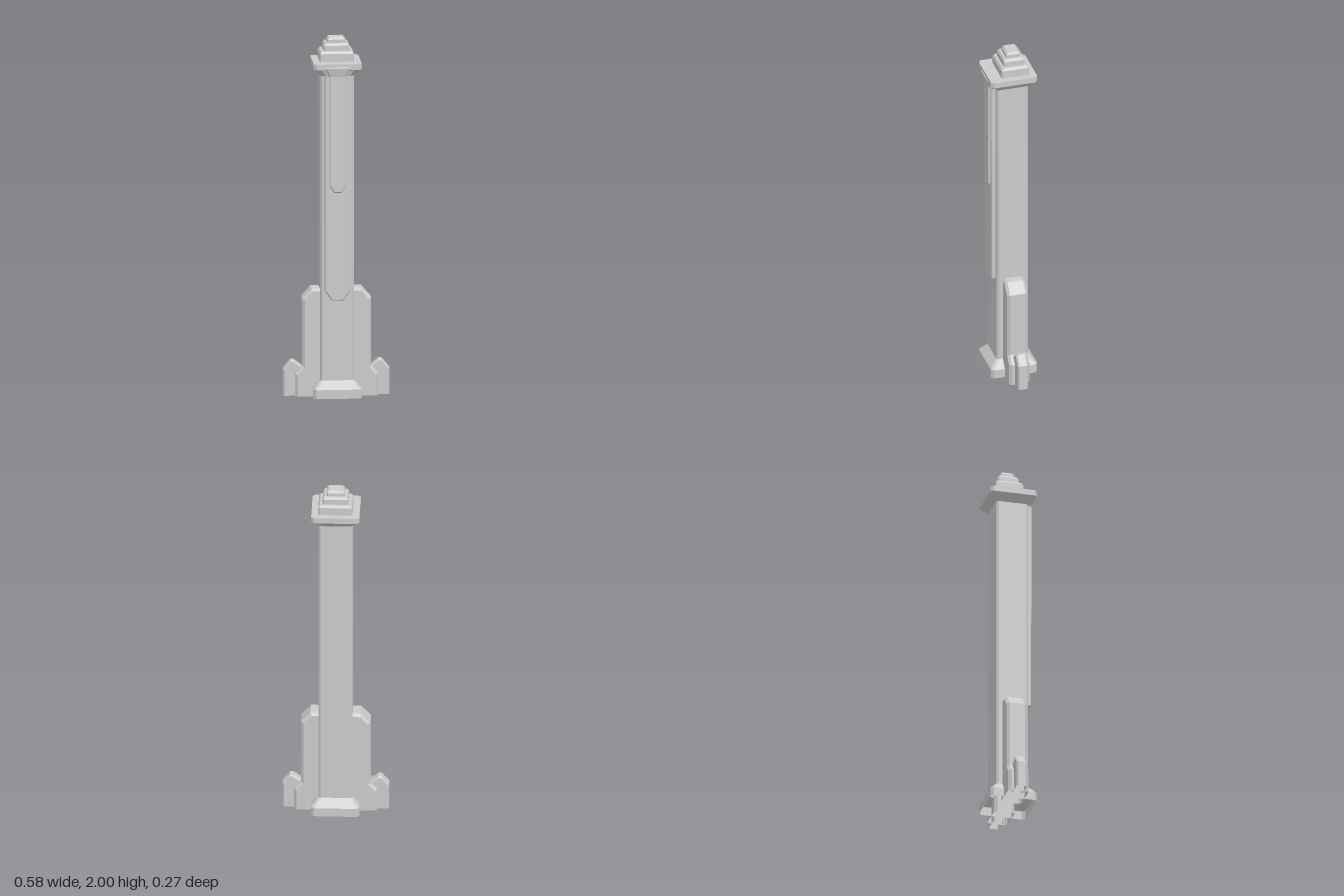
import * as THREE from 'three';

const material = new THREE.MeshStandardMaterial({
  color: 0xcccccc, flatShading: true, side: THREE.DoubleSide,
});

function addMesh(parent, name, geometry) {
  const mesh = new THREE.Mesh(geometry, material);
  mesh.name = name;
  parent.add(mesh);
  return mesh;
}

// Stack of rectangles with cut corners: [y, half width, half depth, corner cut], closed on top
function loft(levels, cz) {
  const positions = [], index = [];
  for (const [y, w, d, c] of levels) {
    const ring = [
      [w, d - c], [w, c - d], [w - c, -d], [c - w, -d],
      [-w, c - d], [-w, d - c], [c - w, d], [w - c, d],
    ];
    for (const [x, z] of ring) positions.push(x, y, z + cz);
  }
  for (let l = 0; l < levels.length - 1; l++) {
    for (let i = 0; i < 8; i++) {
      const a = l * 8 + i, b = l * 8 + (i + 1) % 8;
      index.push(a, b, b + 8, a, b + 8, a + 8);
    }
  }
  const top = (levels.length - 1) * 8;
  for (let i = 1; i < 7; i++) index.push(top, top + i, top + i + 1);
  const g = new THREE.BufferGeometry();
  g.setAttribute('position', new THREE.Float32BufferAttribute(positions, 3));
  g.setIndex(index);
  const flat = g.toNonIndexed();
  flat.computeVertexNormals();
  return flat;
}

// Outline in x and y, extruded from z0 to z1 with chamfered rims
function slab(points, z0, z1, bevel) {
  const shape = new THREE.Shape(points.map(([x, y]) => new THREE.Vector2(x, y)));
  const g = new THREE.ExtrudeGeometry(shape, {
    depth: z1 - z0 - 2 * bevel, bevelEnabled: true, bevelThickness: bevel,
    bevelSize: bevel, bevelOffset: -bevel, bevelSegments: 1,
  });
  return g.translate(0, 0, z0 + bevel);
}

// Cuts a slab off at ground level, leaving its underside open
function openBottom(g) {
  const src = g.index ? g.toNonIndexed() : g;
  const p = src.attributes.position, kept = [];
  for (let i = 0; i < p.count; i += 3) {
    if ([0, 1, 2].every((k) => p.getY(i + k) <= 0)) continue;
    for (let k = 0; k < 3; k++) {
      kept.push(p.getX(i + k), Math.max(0, p.getY(i + k)), p.getZ(i + k));
    }
  }
  const out = new THREE.BufferGeometry();
  out.setAttribute('position', new THREE.Float32BufferAttribute(kept, 3));
  out.computeVertexNormals();
  return out;
}

// Long front panel with a cut lower end and a head that flares out and forward
function panel(w, tip, yTip, yCut, head, yTop, z0, z1, lean) {
  const half = [[tip, yTip], [w, yCut], [w, 1.8], [head, 1.845], [head, yTop]];
  const outline = [...half, ...half.map(([x, y]) => [-x, y]).reverse()];
  const g = slab(outline, z0, z1, 0.006);
  const p = g.attributes.position;
  for (let i = 0; i < p.count; i++) {
    const t = THREE.MathUtils.clamp((p.getY(i) - 1.8) / 0.04, 0, 1);
    p.setZ(i, p.getZ(i) + lean * t);
  }
  g.computeVertexNormals();
  return g;
}

export function createModel() {
  const model = new THREE.Group();
  model.name = 'tower';

  // Shaft with flared foot and flared cornice
  addMesh(model, 'shaft', loft([
    [0, 0.132, 0.132, 0.015],
    [0.05, 0.132, 0.132, 0.015],
    [0.095, 0.093, 0.091, 0.012],
    [1.8, 0.093, 0.091, 0.012],
    [1.84, 0.132, 0.132, 0.015],
    [1.872, 0.132, 0.132, 0.015],
  ], -0.003));

  // Stepped crown
  const tiers = [
    [1.865, 1.928, 0.094, 0.079],
    [1.92, 1.97, 0.071, 0.06],
    [1.96, 2.0, 0.05, 0.04],
  ];
  tiers.forEach(([y0, y1, w, d], i) => addMesh(model, `crownTier${i + 1}`, loft([
    [y0, w, d, 0.007],
    [y1 - 0.012, w, d, 0.007],
    [y1, w - 0.009, d - 0.009, 0.004],
  ], -0.019)));

  // Layered front panels
  addMesh(model, 'longPanel', panel(0.07, 0.032, 0.545, 0.6, 0.1, 1.862, 0.075, 0.111, 0.018));
  addMesh(model, 'shortPanel', panel(0.046, 0.02, 1.15, 1.19, 0.066, 1.856, 0.1, 0.123, 0.01));

  // Buttress, its low step and the outer post on each side
  const buttress = openBottom(slab([
    [0.06, -0.1], [0.228, -0.1], [0.228, 0.125], [0.19, 0.168],
    [0.19, 0.545], [0.138, 0.602], [0.06, 0.602],
  ], -0.061, 0.054, 0.014));
  const post = openBottom(slab([
    [0.185, -0.1], [0.292, -0.1], [0.292, 0.148], [0.252, 0.197],
    [0.232, 0.197], [0.185, 0.16],
  ], -0.033, 0.025, 0.009));
  for (const side of [1, -1]) {
    const group = new THREE.Group();
    group.name = side > 0 ? 'leftButtress' : 'rightButtress';
    addMesh(group, 'fin', buttress);
    addMesh(group, 'outerPost', post);
    group.scale.x = side;
    model.add(group);
  }
  return model;
}
